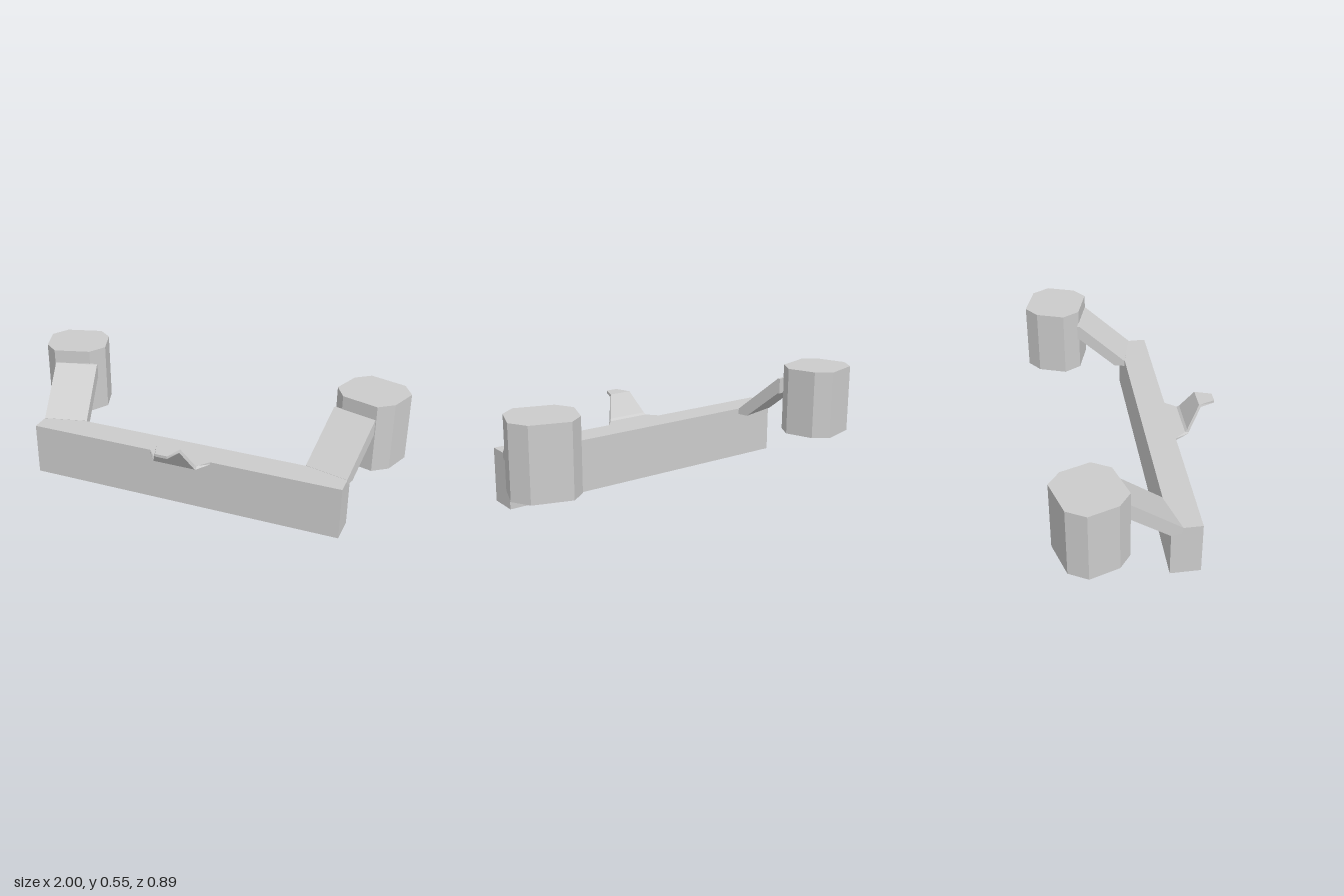
import * as THREE from 'three';

const material = new THREE.MeshStandardMaterial({ color: 0xcccccc, flatShading: true });

function addMesh(group, name, geometry) {
  const mesh = new THREE.Mesh(geometry, material);
  mesh.name = name;
  group.add(mesh);
}

// Extrude a 2D outline into a flat-sided prism
function prism(points, depth) {
  const shape = new THREE.Shape(points.map(([x, y]) => new THREE.Vector2(x, y)));
  return new THREE.ExtrudeGeometry(shape, { depth, bevelEnabled: false });
}

// Move every vertex by a rule
function warp(geometry, rule) {
  const p = geometry.attributes.position;
  for (let i = 0; i < p.count; i++) p.setXYZ(i, ...rule(p.getX(i), p.getY(i), p.getZ(i)));
  geometry.computeVertexNormals();
  return geometry;
}

// Mirrored copy across x = 0, with the winding restored
function mirrored(geometry) {
  const g = geometry.index ? geometry.toNonIndexed() : geometry.clone();
  g.scale(-1, 1, 1);
  const p = g.attributes.position;
  const a = new THREE.Vector3(), b = new THREE.Vector3();
  for (let i = 0; i < p.count; i += 3) {
    a.fromBufferAttribute(p, i + 1);
    b.fromBufferAttribute(p, i + 2);
    p.setXYZ(i + 1, b.x, b.y, b.z);
    p.setXYZ(i + 2, a.x, a.y, a.z);
  }
  g.computeVertexNormals();
  return g;
}

// Eight-sided upright drum, a half outline repeated through its centre
function drumGeometry() {
  const cx = 0.8225, cz = -0.278;
  const half = [[-0.053, -0.169], [0.128, -0.115], [0.1775, -0.027], [0.128, 0.113]];
  const outline = [...half, ...half.map(([x, z]) => [-x, -z])];
  const g = prism(outline.map(([x, z]) => [cx + x, -(cz + z)]), 0.35);
  g.rotateX(-Math.PI / 2);
  g.translate(0, 0.2, 0);
  return g;
}

// Sloping arm: side profile as (z, y), skewed outward towards the back
function armGeometry() {
  const profile = [[0.135, 0.271], [-0.108, 0.48], [-0.12, 0.48], [-0.12, 0.4],
    [-0.11, 0.4], [0.08, 0.24], [0.135, 0.24]];
  const g = prism(profile, 1);
  // The extrusion runs from the outer side (0) to the inner side (1)
  return warp(g, (z, y, u) => [0.814 + (0.135 - z) * 0.235 - 0.218 * u, y, z - 0.056 * u]);
}

// Bent tapering tab lofted from rectangular sections: half width, top z/y, bottom z/y
function tabGeometry() {
  const sections = [
    [0.163, 0.222, 0.27, 0.222, 0.258],
    [0.113, 0.283, 0.27, 0.3, 0.258],
    [0.107, 0.295, 0.28, 0.303, 0.262],
    [0.06, 0.361, 0.391, 0.37, 0.377],
    [0.03, 0.445, 0.391, 0.445, 0.377],
  ];
  const position = [];
  const index = [];
  for (const [w, zt, yt, zb, yb] of sections) {
    position.push(-w, yt, zt, w, yt, zt, w, yb, zb, -w, yb, zb);
  }
  for (let s = 0; s < sections.length - 1; s++) {
    for (let k = 0; k < 4; k++) {
      const a = s * 4 + k, b = s * 4 + (k + 1) % 4;
      index.push(a, a + 4, b, b, a + 4, b + 4);
    }
  }
  const e = (sections.length - 1) * 4;
  index.push(0, 1, 2, 0, 2, 3, e, e + 2, e + 1, e, e + 3, e + 2);
  const g = new THREE.BufferGeometry();
  g.setAttribute('position', new THREE.Float32BufferAttribute(position, 3));
  g.setIndex(index);
  const flat = g.toNonIndexed();
  flat.computeVertexNormals();
  return flat;
}

export function createModel() {
  const model = new THREE.Group();
  model.name = 'bracket';

  // Long crossbar
  const bar = new THREE.BoxGeometry(1.63, 0.27, 0.146);
  bar.translate(0, 0.135, 0.154);
  addMesh(model, 'crossbar', bar);

  // Bent tab at the front centre
  addMesh(model, 'frontTab', tabGeometry());

  // Arms and drums, one pair on each side
  const arm = armGeometry();
  const drum = drumGeometry();
  addMesh(model, 'leftArm', arm);
  addMesh(model, 'rightArm', mirrored(arm));
  addMesh(model, 'leftDrum', drum);
  addMesh(model, 'rightDrum', mirrored(drum));
  return model;
}
